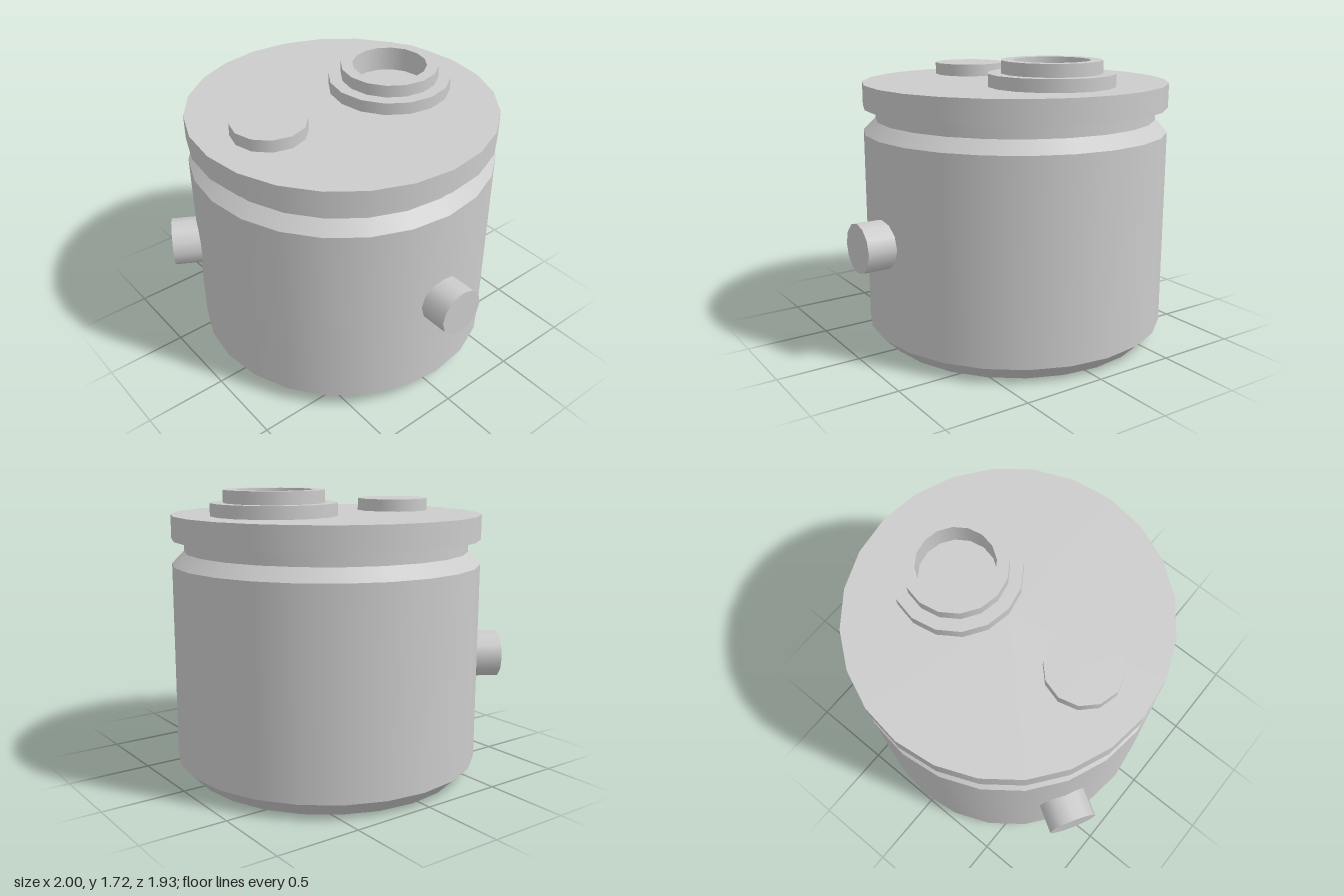
import * as THREE from 'three';
import { mergeGeometries } from 'three/addons/utils/BufferGeometryUtils.js';

const CENTRE_X = -0.077, CENTRE_Z = -0.04;

// Turned solid: one lathe band per profile segment, so every profile corner stays sharp
function turned(profile, sides) {
  const bands = [];
  for (let i = 0; i < profile.length - 1; i++) {
    const pair = [profile[i], profile[i + 1]].map(([r, y]) => new THREE.Vector2(r, y));
    bands.push(new THREE.LatheGeometry(pair, sides));
  }
  return mergeGeometries(bands);
}

export function createModel() {
  const model = new THREE.Group();
  model.name = 'tank';
  model.position.set(0, 0, 0);
  const tank = new THREE.Group();
  tank.name = 'tankAssembly';
  tank.position.set(CENTRE_X, 0, CENTRE_Z);
  model.add(tank);
  const material = new THREE.MeshStandardMaterial({ color: 0xcccccc });

  const add = (name, geometry) => {
    const mesh = new THREE.Mesh(geometry, material);
    mesh.name = name;
    tank.add(mesh);
    return mesh;
  };

  // Vessel with chamfered base, shoulder and recessed neck
  add('body', turned([[0, 0], [0.83, 0], [0.923, 0.093], [0.923, 1.28], [0.85, 1.353], [0.85, 1.43]], 24));

  // Flat overhanging lid
  add('lid', turned([[0, 1.428], [0.923, 1.428], [0.923, 1.572], [0, 1.572]], 24));

  // Stepped open collar at the back of the lid
  add('collar', turned([
    [0.37, 1.572], [0.37, 1.646], [0.295, 1.646], [0.295, 1.72], [0.224, 1.72], [0.224, 1.572],
  ], 16)).position.z = -0.367;

  // Round cap at the front of the lid
  add('cap', turned([[0.221, 1.572], [0.221, 1.646], [0, 1.646]], 12)).position.z = 0.521;

  // Side ports, 120 degrees apart, starting inside the vessel wall
  const inner = 0.8, outer = 1.077;
  [['leftPort', 0], ['frontPort', -120]].forEach(([name, degrees]) => {
    const port = new THREE.CylinderGeometry(0.147, 0.147, outer - inner, 12);
    port.rotateZ(-Math.PI / 2).translate((inner + outer) / 2, 0.684, 0);
    add(name, port).rotation.y = THREE.MathUtils.degToRad(degrees);
  });

  return model;
}
